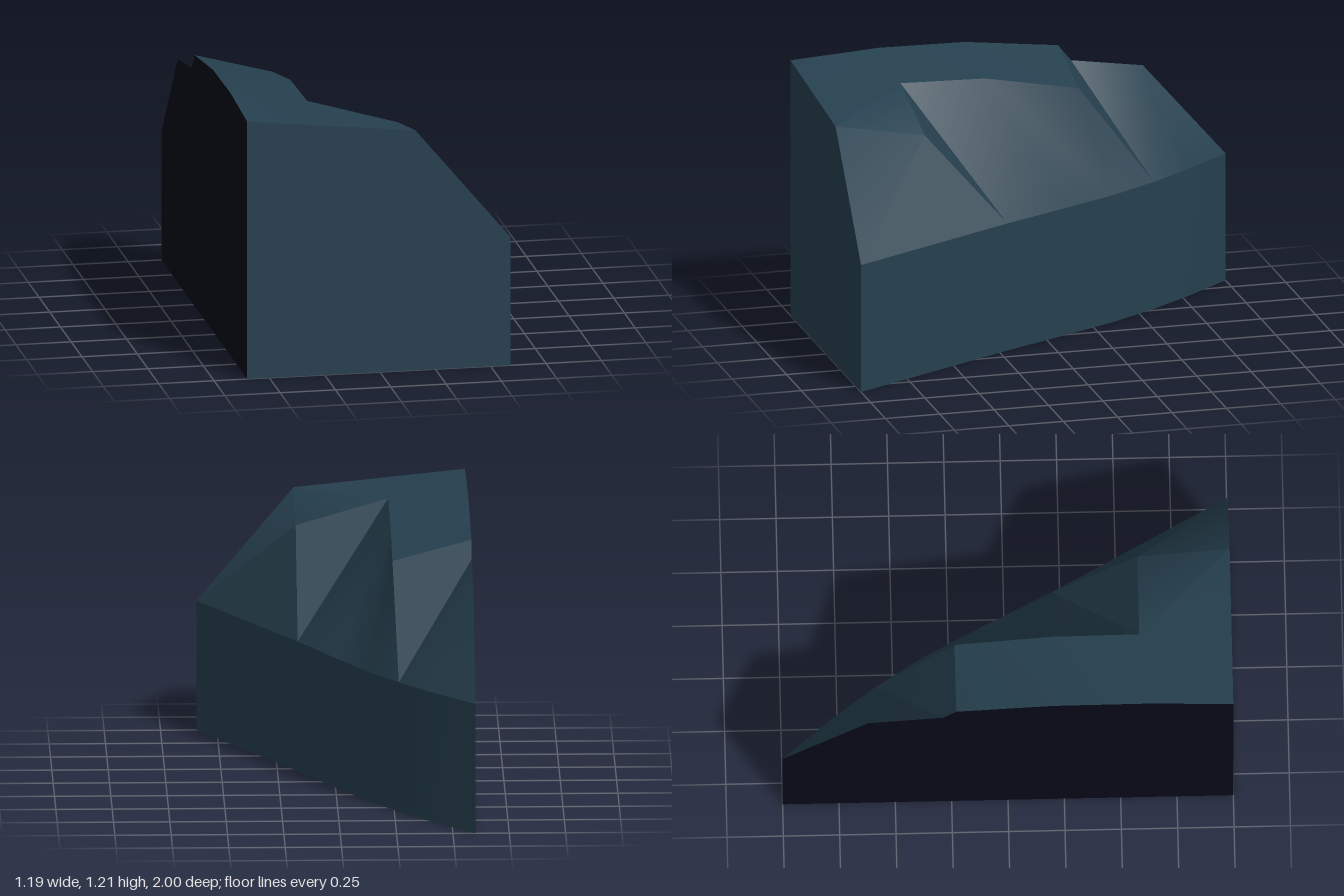
import * as THREE from 'three';
import { toCreasedNormals } from 'three/addons/utils/BufferGeometryUtils.js';

// Each face is a loop of points, counter-clockwise from outside, filled as a fan.
function facesMesh(name, material, faces, crease = 0.6) {
  const pos = [];
  for (const f of faces) {
    for (let i = 1; i < f.length - 1; i++) pos.push(...f[0], ...f[i], ...f[i + 1]);
  }
  const geo = new THREE.BufferGeometry();
  geo.setAttribute('position', new THREE.Float32BufferAttribute(pos, 3));
  const mesh = new THREE.Mesh(toCreasedNormals(geo, crease), material);
  mesh.name = name;
  return mesh;
}

export function createModel() {
  const group = new THREE.Group();
  group.name = 'steppedWedge';
  const slate = new THREE.MeshStandardMaterial({ color: 0x26404f });
  slate.name = 'slate blue';
  const dark = new THREE.MeshStandardMaterial({ color: 0x080818 });
  dark.name = 'dark navy';

  const X = -0.6, E = 0.59; // flat side plane, eave height

  // Curved outer wall in plan, front to back
  const plan = [[0.59, 1], [0.16, 0.21], [0.0, -0.11], [-0.13, -0.36], [-0.27, -0.58], [-0.41, -0.77], [X, -1]];
  const w = plan.map(([x, z]) => [x, E, z]);
  const base = plan.map(([x, z]) => [x, 0, z]);
  const corner = [X, 0, 1];

  // Ridge points of the three tiers
  const l = [[X, 1.185, 1], [X, 1.21, 0.6], [X, 1.205, 0.2], [X, 1.155, -0.23]];
  const a = [[0.16, 1.105, 1], [0.16, 1.03, 0.59]];
  const r = [[-0.25, 1.15, 0.59], [-0.25, 1.14, 0.2], [-0.25, 1.06, -0.23]];
  const c = [[X, 1.08, -0.29], [X, 1.03, -0.62], w[6]];

  const wall = [];
  for (let i = 0; i < 6; i++) wall.push([base[i], base[i + 1], w[i + 1], w[i]]);
  group.add(facesMesh('outerWall', slate, wall));

  group.add(facesMesh('frontFace', slate, [[corner, base[0], w[0], a[0], l[0]]]));

  // Gently sloped tops, steep flanks and the ends of each tier
  group.add(facesMesh('tieredTop', slate, [
    [l[0], a[0], r[0]], [a[0], a[1], r[0]], [l[0], r[0], l[1]],
    [l[1], r[0], r[1], l[2]], [l[2], r[1], r[2], l[3]],
    [a[0], w[0], a[1]], [a[1], w[0], w[1]],
    [a[1], w[1], r[0]],
    [r[0], w[1], r[1]], [r[1], w[1], w[2]], [r[1], w[2], w[3]], [r[1], w[3], r[2]], [r[2], w[3], w[4]],
    [r[2], w[4], c[0], l[3]],
    [c[0], w[4], c[1]], [c[1], w[4], w[5]], [c[1], w[5], c[2]],
  ]));

  // Flat dark cut faces
  group.add(facesMesh('cutSide', dark, [[corner, ...l, ...c, base[6]]]));
  group.add(facesMesh('underside', dark, [[corner, ...base.slice().reverse()]]));

  return group;
}
